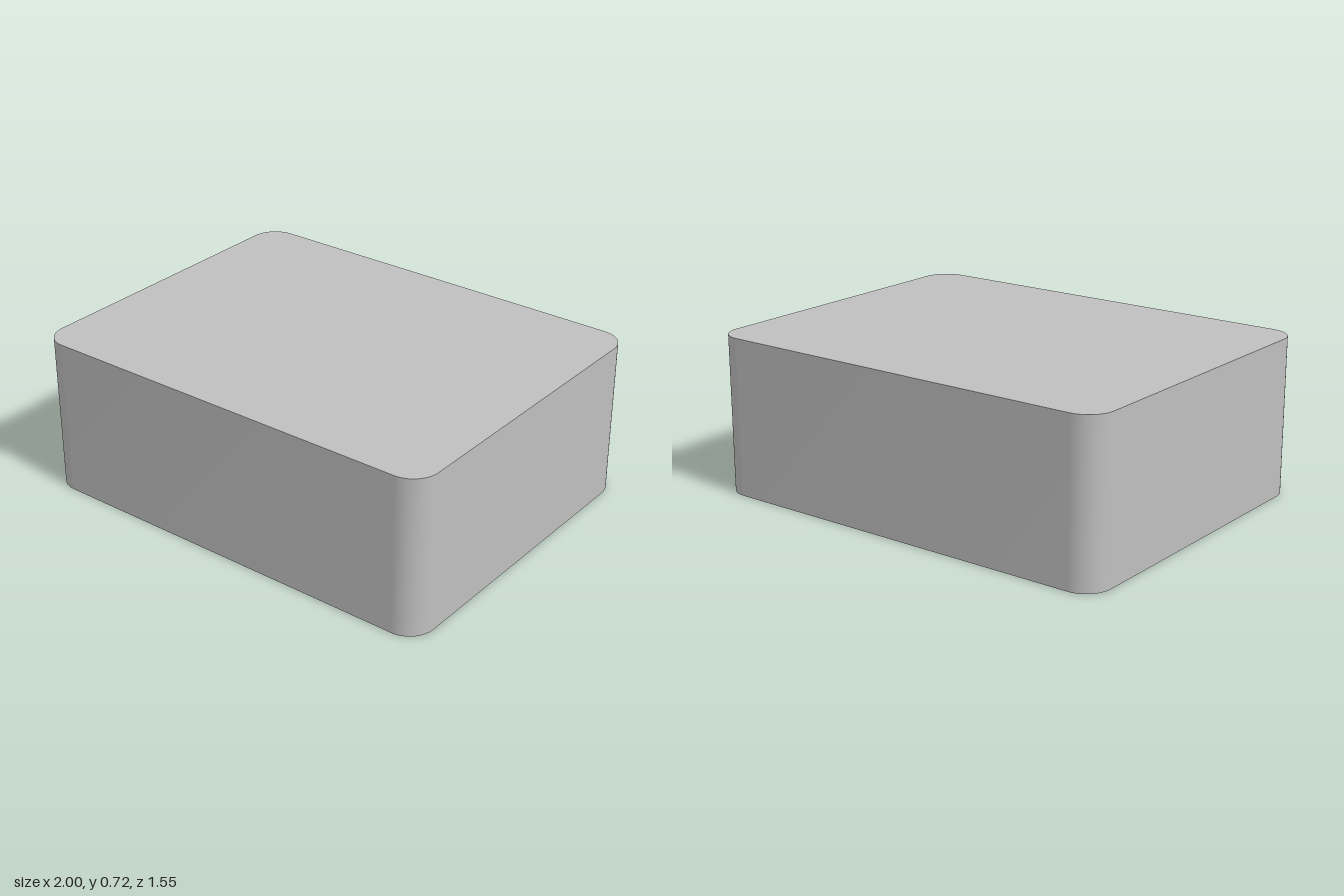
import * as THREE from 'three';
import { toCreasedNormals } from 'three/addons/utils/BufferGeometryUtils.js';

const HALF_X = 1, HALF_Z = 0.773, HEIGHT = 0.72, RADIUS = 0.12, WALL = 0.05, STEPS = 16;

// Rounded rectangle moved inwards by an inset, as [x, z] points from +x towards +z
function outline(inset) {
  const points = [];
  const r = RADIUS - inset;
  [[1, 1], [-1, 1], [-1, -1], [1, -1]].forEach(([sx, sz], corner) => {
    for (let i = 0; i <= STEPS; i++) {
      const a = (corner + i / STEPS) * Math.PI / 2;
      points.push([
        sx * (HALF_X - RADIUS) + r * Math.cos(a),
        sz * (HALF_Z - RADIUS) + r * Math.sin(a),
      ]);
    }
  });
  return points;
}

// Closed skin through rings of [inset, y]; a null inset is the centre point of a cap
function skin(profile) {
  const count = 4 * (STEPS + 1);
  const rings = profile.map(([inset, y]) => {
    const pts = inset === null ? Array(count).fill([0, 0]) : outline(inset);
    return pts.map(([x, z]) => [x, y, z]);
  });
  const pos = [];
  for (let k = 0; k < rings.length - 1; k++) {
    for (let i = 0; i < count; i++) {
      const j = (i + 1) % count;
      const a = rings[k][i], b = rings[k][j], c = rings[k + 1][j], d = rings[k + 1][i];
      if (profile[k][0] !== null) pos.push(...a, ...d, ...b);
      if (profile[k + 1][0] !== null) pos.push(...b, ...d, ...c);
    }
  }
  const geometry = new THREE.BufferGeometry();
  geometry.setAttribute('position', new THREE.Float32BufferAttribute(pos, 3));
  return toCreasedNormals(geometry, 0.6);
}

export function createModel() {
  const group = new THREE.Group();
  group.name = 'boxLid';
  const grey = new THREE.MeshStandardMaterial({ color: 0xbfbfbf });
  grey.name = 'grey';

  // Hollow cover, open underneath: ceiling, inner wall, rim, outer wall, top
  const shell = new THREE.Mesh(skin([
    [null, HEIGHT - WALL],
    [WALL, HEIGHT - WALL],
    [WALL, 0],
    [0, 0],
    [0, HEIGHT],
    [null, HEIGHT],
  ]), grey);
  shell.name = 'shell';
  group.add(shell);

  // Low snap ridges inside the two long walls
  const section = new THREE.Shape();
  section.moveTo(-0.005, -0.02);
  section.lineTo(0.008, 0);
  section.lineTo(-0.005, 0.02);
  const ridgeGeometry = new THREE.ExtrudeGeometry(section, { depth: 0.98, bevelEnabled: false });
  ridgeGeometry.translate(0, 0, -0.49);
  for (const side of [1, -1]) {
    const ridge = new THREE.Mesh(ridgeGeometry, grey);
    ridge.name = side > 0 ? 'frontSnapRidge' : 'backSnapRidge';
    ridge.rotation.y = side * Math.PI / 2;
    ridge.position.set(0, 0.09, side * (HALF_Z - WALL));
    group.add(ridge);
  }
  return group;
}
